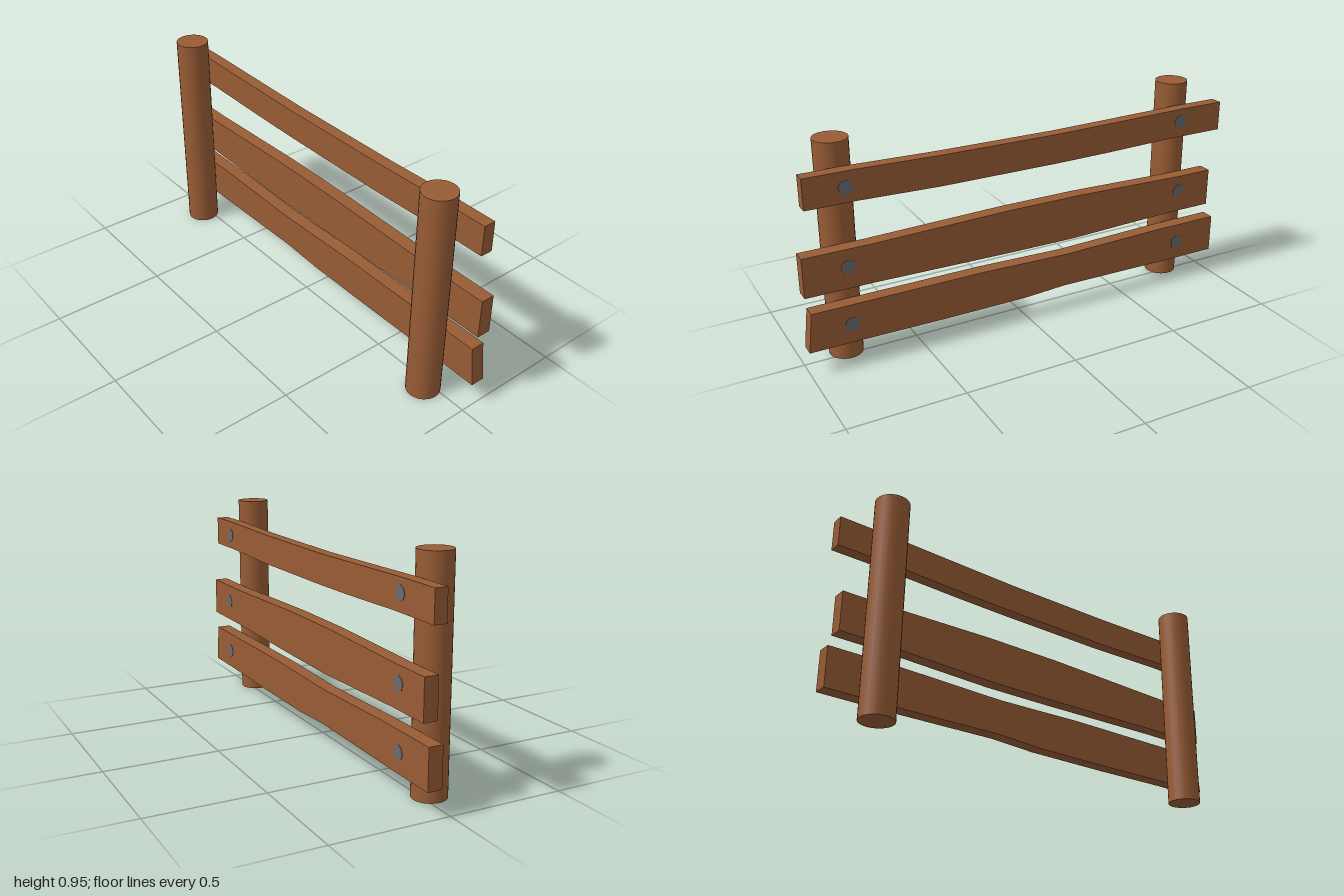
import * as THREE from 'three';

const wood = new THREE.MeshStandardMaterial({ color: 0x985c35 });
wood.name = 'brown wood';
const steel = new THREE.MeshStandardMaterial({ color: 0x686b6e });
steel.name = 'grey steel';

const BACK = 0.04; // rails touch the posts at this x

// Each rail: front x, upper and lower edges as [z, y] from front to back, bolt centres [z, y]
const rails = [
  {
    name: 'topRail', face: 0.094,
    upper: [[0.97, 0.853], [0.76, 0.853], [0.4, 0.845], [-0.14, 0.842], [-0.45, 0.847], [-0.78, 0.853], [-1, 0.853]],
    lower: [[0.97, 0.722], [0.76, 0.722], [0.4, 0.712], [-0.14, 0.711], [-0.4, 0.714], [-0.74, 0.722], [-1, 0.722]],
    bolts: [[0.8, 0.787], [-0.78, 0.794]],
  },
  {
    name: 'middleRail', face: 0.101,
    upper: [[1, 0.53], [0.72, 0.53], [0.1, 0.544], [-0.25, 0.544], [-0.78, 0.53], [-0.96, 0.53]],
    lower: [[1, 0.358], [0.72, 0.358], [0.1, 0.346], [-0.22, 0.343], [-0.75, 0.358], [-0.96, 0.358]],
    bolts: [[0.815, 0.452], [-0.79, 0.46]],
  },
  {
    name: 'bottomRail', face: 0.101,
    upper: [[0.98, 0.283], [0.22, 0.283], [-0.19, 0.272], [-0.67, 0.283], [-1, 0.283]],
    lower: [[1, 0.111], [0.76, 0.111], [0.4, 0.107], [0.02, 0.107], [-0.19, 0.118], [-0.72, 0.111], [-1, 0.111]],
    bolts: [[0.815, 0.195], [-0.797, 0.195]],
  },
];

function add(parent, name, geometry, material, x, y, z) {
  const mesh = new THREE.Mesh(geometry, material);
  mesh.name = name;
  mesh.position.set(x, y, z);
  parent.add(mesh);
  return mesh;
}

export function createModel() {
  const model = new THREE.Group();
  model.name = 'fence';

  // Round posts
  const post = new THREE.CylinderGeometry(0.072, 0.072, 0.953, 24);
  add(model, 'frontPost', post, wood, -0.032, 0.4765, 0.807);
  add(model, 'backPost', post, wood, -0.032, 0.4765, -0.811);

  // Uneven planks, extruded sideways from their outline, each with two bolts
  const boltGeometry = new THREE.CylinderGeometry(0.031, 0.031, 0.004, 8).rotateZ(-Math.PI / 2);
  for (const { name, face, upper, lower, bolts } of rails) {
    const group = new THREE.Group();
    group.name = name;
    const outline = [...upper, ...[...lower].reverse()].map(([z, y]) => new THREE.Vector2(-z, y));
    const plank = new THREE.ExtrudeGeometry(new THREE.Shape(outline), { depth: face - BACK, bevelEnabled: false });
    plank.rotateY(Math.PI / 2);
    add(group, 'plank', plank, wood, BACK, 0, 0);
    for (const [z, y] of bolts) add(group, 'bolt', boltGeometry, steel, face, y, z);
    model.add(group);
  }
  return model;
}
